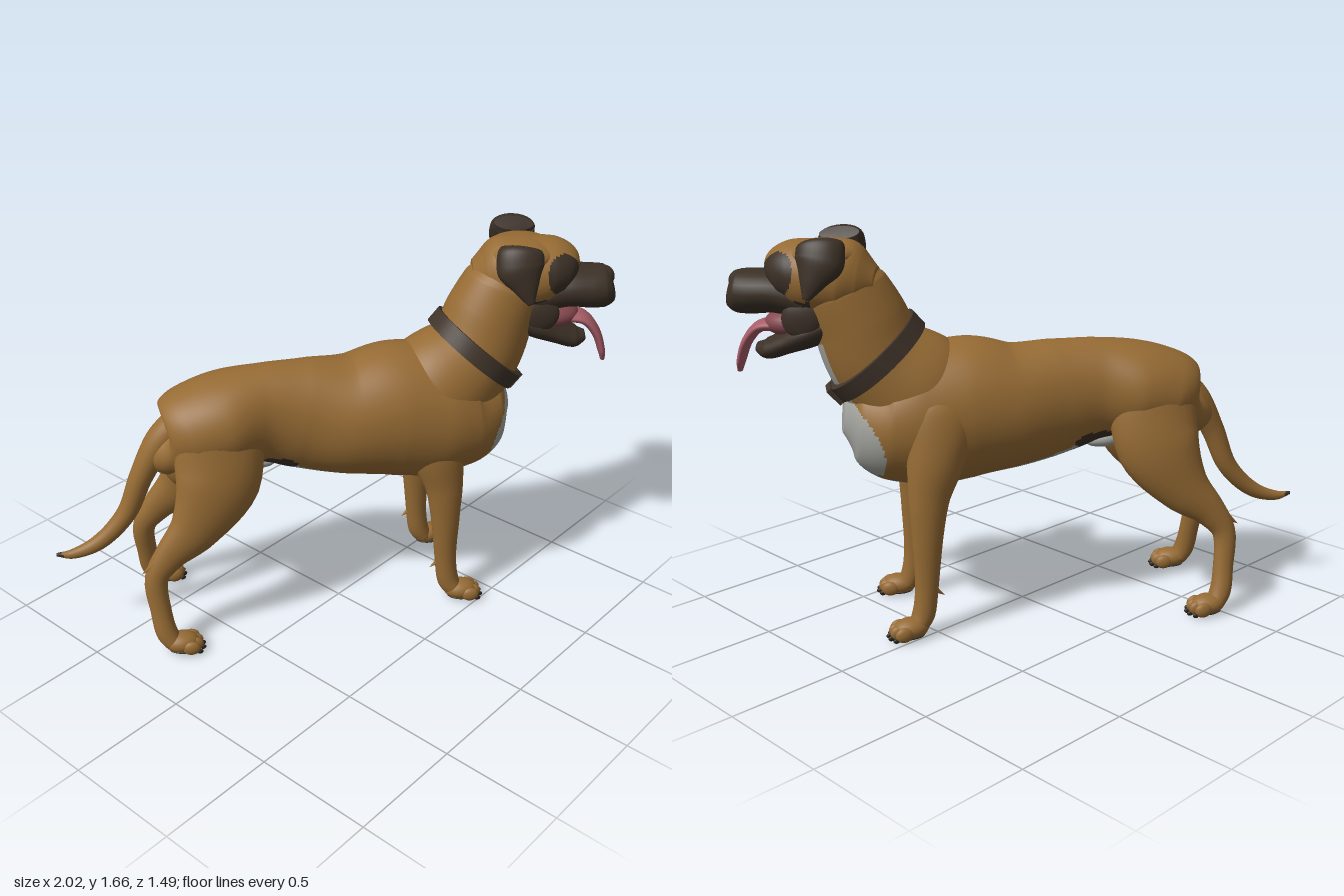
import * as THREE from 'three';
import { toCreasedNormals } from 'three/addons/utils/BufferGeometryUtils.js';

const mat = (name, color) => {
  const m = new THREE.MeshStandardMaterial({ color });
  m.name = name;
  return m;
};

// Smooth loft through sections [x, y, z, sideRadius, otherRadius].
// rule(x, y, z) picks the material group of every face.
function loft(sections, { ref = [0, 0, 1], rings = 40, sides = 28, rule = () => 0 } = {}) {
  const path = new THREE.CatmullRomCurve3(sections.map(s => new THREE.Vector3(s[0], s[1], s[2])));
  const size = new THREE.CatmullRomCurve3(sections.map(s => new THREE.Vector3(s[3], s[4], 0)));
  const axis = new THREE.Vector3(...ref), pos = [], groups = [[], [], []];
  for (let i = -1; i <= rings + 1; i++) {
    const t = Math.min(Math.max(i / rings, 0), 1);
    const c = path.getPoint(t), T = path.getTangent(t), r = size.getPoint(t);
    const S = axis.clone().addScaledVector(T, -T.dot(axis)).normalize();
    const N = T.clone().cross(S);
    const k = i < 0 || i > rings ? 0.01 : 1; // closing rings
    for (let j = 0; j < sides; j++) {
      const f = (j / sides) * Math.PI * 2;
      const p = c.clone()
        .addScaledVector(S, k * Math.max(r.x, 0.002) * Math.cos(f))
        .addScaledVector(N, k * Math.max(r.y, 0.002) * Math.sin(f));
      pos.push(p.x, p.y, p.z);
    }
  }
  for (let i = 0; i < rings + 2; i++) {
    for (let j = 0; j < sides; j++) {
      const a = i * sides + j, b = i * sides + (j + 1) % sides, c = a + sides, d = b + sides;
      const mid = k => (pos[a * 3 + k] + pos[b * 3 + k] + pos[c * 3 + k] + pos[d * 3 + k]) / 4;
      groups[rule(mid(0), mid(1), mid(2))].push(a, b, d, a, d, c);
    }
  }
  const g = new THREE.BufferGeometry();
  g.setAttribute('position', new THREE.Float32BufferAttribute(pos, 3));
  g.setIndex(groups.flat());
  let start = 0;
  groups.forEach((list, m) => {
    if (list.length) g.addGroup(start, list.length, m);
    start += list.length;
  });
  g.computeVertexNormals();
  return g;
}

export function createModel() {
  const tan = mat('tan coat', 0x966b34), dark = mat('dark brown mask', 0x3b3026);
  const white = mat('white chest', 0xa3a39e), pink = mat('pink tongue', 0xa65c66);
  const leather = mat('collar leather', 0x40342a), black = mat('claw black', 0x2a231d);
  const mouthRed = mat('mouth interior', 0x85484f);
  const coat = [tan, white, dark];

  const add = (parent, name, geometry, material) => {
    const m = new THREE.Mesh(geometry, material);
    m.name = name;
    parent.add(m);
    return m;
  };
  const ball = (parent, name, material, x, y, z, rx, ry, rz) => {
    const m = add(parent, name, new THREE.SphereGeometry(1, 24, 16), material);
    m.position.set(x, y, z);
    m.scale.set(rx, ry, rz);
    return m;
  };

  const model = new THREE.Group();
  model.name = 'dog';
  // Inside this group the dog looks along +x and its right side is +z
  const dog = new THREE.Group();
  dog.name = 'standingDog';
  dog.rotation.y = THREE.MathUtils.degToRad(-34);
  model.add(dog);
  const mid = -0.05;

  // Torso with white chest and belly, dark groin
  const torso = [
    [-0.775, 0.92, 0.04, 0.07], [-0.73, 0.89, 0.13, 0.145], [-0.62, 0.925, 0.2, 0.19],
    [-0.48, 0.96, 0.215, 0.2], [-0.3, 0.963, 0.17, 0.22], [-0.15, 0.94, 0.185, 0.245],
    [0.05, 0.91, 0.235, 0.265], [0.25, 0.91, 0.26, 0.3], [0.42, 0.885, 0.265, 0.3],
    [0.58, 0.872, 0.245, 0.25], [0.7, 0.895, 0.175, 0.165], [0.76, 0.9, 0.06, 0.07],
  ].map(([x, y, a, b]) => [x, y, mid, a, b]);
  add(dog, 'torso', loft(torso, {
    rings: 150, sides: 88,
    rule: (x, y, z) => {
      const side = Math.abs(z - mid);
      if (((x + 0.32) / 0.13) ** 2 + ((y - 0.76) / 0.045) ** 2 < 1 && side > 0.05) return 2;
      if (x > 0.5 && ((z + 0.06) / 0.215) ** 2 + ((y - 0.82) / 0.175) ** 2 < 1) return 1;
      return x > -0.45 && side < 0.105 && y < 0.79 ? 1 : 0;
    },
  }), coat);
  ball(dog, 'rump', tan, -0.66, 0.83, mid, 0.1, 0.16, 0.13);
  add(dog, 'belly', loft([
    [-0.46, 0.77, mid, 0.015, 0.015], [-0.38, 0.74, mid, 0.035, 0.035],
    [-0.3, 0.73, mid, 0.03, 0.025], [-0.25, 0.74, mid, 0.01, 0.01]]), white);

  // Neck with a white throat strip
  add(dog, 'neck', loft([
    [0.28, 0.85, mid, 0.21, 0.23], [0.45, 0.99, mid, 0.23, 0.25], [0.61, 1.14, -0.06, 0.192, 0.208],
    [0.68, 1.3, -0.068, 0.175, 0.193], [0.74, 1.43, -0.071, 0.158, 0.175], [0.77, 1.53, -0.071, 0.12, 0.11],
  ], {
    rings: 90, sides: 64,
    rule: (x, y, z) => {
      const front = (x - 0.61) * 0.75 - (y - 1.14) * 0.66, side = Math.abs(z + 0.06);
      return front > 0.1 && y < 1.22 && side < (y < 0.96 ? 0.15 : 0.085) ? 1 : 0;
    },
  }), coat);

  // Collar
  const collar = new THREE.Group();
  collar.name = 'collar';
  collar.position.set(0.615, 1.15, -0.06);
  collar.rotation.z = -0.72;
  dog.add(collar);
  const ring = [[0.9, -0.036], [1.08, -0.036], [1.08, 0.036], [0.9, 0.036]].map(p => new THREE.Vector2(...p));
  const band = new THREE.LatheGeometry(ring, 48).scale(0.215, 1, 0.2);
  add(collar, 'collarBand', toCreasedNormals(band, 0.6), leather);
  add(collar, 'collarBuckle', new THREE.BoxGeometry(0.025, 0.08, 0.11), leather).position.x = 0.232;

  // Tail
  add(dog, 'tail', loft([
    [-0.66, 0.98, -0.04, 0.07, 0.07], [-0.75, 0.9, -0.037, 0.066, 0.064], [-0.84, 0.75, -0.03, 0.05, 0.05],
    [-0.92, 0.57, -0.03, 0.042, 0.042], [-1.045, 0.45, -0.025, 0.034, 0.034],
    [-1.16, 0.412, -0.022, 0.021, 0.021], [-1.225, 0.42, -0.021, 0.007, 0.007],
  ], { rule: x => (x < -1.2 ? 2 : 0) }), coat);

  // Paw with four toes, claws and a dark sole
  function paw(name, x, z, turn) {
    const g = new THREE.Group();
    g.name = name;
    g.position.set(x, 0, z);
    g.rotation.y = turn;
    dog.add(g);
    ball(g, 'foot', tan, 0, 0.05, 0, 0.075, 0.045, 0.055);
    ball(g, 'pad', dark, 0.01, 0.02, 0, 0.07, 0.012, 0.048);
    [-1.5, -0.5, 0.5, 1.5].forEach(i => {
      const tx = 0.06 - Math.abs(i) * 0.014, tz = i * 0.03;
      ball(g, 'toe', tan, tx, 0.042, tz, 0.038, 0.032, 0.019);
      ball(g, 'claw', black, tx + 0.034, 0.022, tz, 0.014, 0.011, 0.008);
    });
  }

  // Legs, mirrored around the line z = c
  [['right', 1], ['left', -1]].forEach(([side, s]) => {
    const leg = (name, c, rows) => add(dog, side + name, loft(rows.map(([x, y, w, a, b]) => [x, y, c + s * w, a, b])), tan);
    leg('FrontLeg', -0.08, [
      [0.36, 1.06, 0.1, 0.05, 0.08], [0.38, 0.93, 0.145, 0.095, 0.155], [0.41, 0.75, 0.185, 0.085, 0.12],
      [0.44, 0.6, 0.205, 0.062, 0.085], [0.45, 0.45, 0.213, 0.052, 0.066], [0.46, 0.2, 0.217, 0.041, 0.048],
      [0.475, 0.1, 0.22, 0.043, 0.048], [0.5, 0.05, 0.225, 0.045, 0.04]]);
    paw(side + 'FrontPaw', 0.53, -0.082 + s * 0.235, -s * 0.15);
    leg('HindLeg', -0.05, [
      [-0.49, 1.07, 0.08, 0.07, 0.1], [-0.52, 0.92, 0.11, 0.1, 0.19], [-0.545, 0.74, 0.155, 0.097, 0.18],
      [-0.65, 0.56, 0.185, 0.07, 0.115], [-0.765, 0.45, 0.2, 0.05, 0.07], [-0.83, 0.355, 0.21, 0.041, 0.05],
      [-0.825, 0.2, 0.235, 0.038, 0.044], [-0.81, 0.1, 0.255, 0.042, 0.046], [-0.785, 0.05, 0.264, 0.045, 0.04]]);
    paw(side + 'HindPaw', -0.75, -0.05 + s * 0.27, -s * 0.1);
    // Small tufts behind the wrist and the hock
    [[0.405, 0.2, -0.08 + s * 0.217], [-0.87, 0.41, -0.05 + s * 0.215]].forEach(([x, y, z]) => {
      const tuft = add(dog, side + 'Tuft', new THREE.ConeGeometry(0.022, 0.08, 10), tan);
      tuft.position.set(x + 0.012, y, z);
      tuft.rotation.z = 2.2;
    });
  });

  // Head, turned a little to the dog's right
  const head = new THREE.Group();
  head.name = 'head';
  head.position.set(0.784, 0, -0.071);
  head.rotation.y = THREE.MathUtils.degToRad(-16);
  dog.add(head);
  add(head, 'skull', loft([
    [-0.18, 1.46, 0, 0.08, 0.06], [-0.12, 1.465, 0, 0.13, 0.125], [-0.05, 1.475, 0, 0.16, 0.155],
    [0.06, 1.48, 0, 0.165, 0.152], [0.15, 1.49, 0, 0.155, 0.135], [0.205, 1.475, 0, 0.125, 0.11],
    [0.235, 1.46, 0, 0.07, 0.06],
  ], {
    rings: 90, sides: 72,
    rule: (x, y, z) => {
      const eye = ((x - 0.18) / 0.085) ** 2 + ((y - 1.505) / 0.085) ** 2 + ((Math.abs(z) - 0.1) / 0.085) ** 2;
      return eye < 1 || (x > 0.06 && y < 1.4) || (x > 0.19 && y < 1.53) ? 2 : 0;
    },
  }), coat);
  // Flat forehead between the ears
  ball(head, 'forehead', tan, 0.02, 1.57, 0, 0.155, 0.062, 0.165);
  add(head, 'muzzle', loft([
    [0.08, 1.39, 0, 0.125, 0.09], [0.22, 1.42, 0, 0.125, 0.088], [0.32, 1.418, 0, 0.12, 0.09],
    [0.375, 1.418, 0, 0.108, 0.088], [0.405, 1.422, 0, 0.08, 0.07], [0.415, 1.425, 0, 0.03, 0.03]]), dark);
  ball(head, 'nose', dark, 0.37, 1.46, 0, 0.046, 0.044, 0.06);
  add(head, 'lowerJaw', loft([
    [0.0, 1.3, 0, 0.11, 0.06], [0.09, 1.262, 0, 0.125, 0.066], [0.19, 1.215, 0, 0.105, 0.05],
    [0.27, 1.185, 0, 0.08, 0.042], [0.315, 1.19, 0, 0.035, 0.02]]), dark);
  ball(head, 'mouth', mouthRed, 0.16, 1.295, 0, 0.12, 0.06, 0.1);
  add(head, 'tongue', loft([
    [0.08, 1.28, 0, 0.06, 0.025], [0.2, 1.285, 0, 0.07, 0.028], [0.3, 1.275, 0.005, 0.066, 0.024],
    [0.36, 1.21, 0.01, 0.06, 0.02], [0.39, 1.13, 0.015, 0.05, 0.016], [0.4, 1.085, 0.018, 0.02, 0.01],
  ]), pink);

  // Lip corners, eyes and folded, hanging ears
  [['right', 1], ['left', -1]].forEach(([side, s]) => {
    ball(head, side + 'LipCorner', dark, 0.1, 1.325, s * 0.1, 0.085, 0.08, 0.03);
    ball(head, side + 'Eye', black, 0.195, 1.515, s * 0.098, 0.018, 0.016, 0.018);
    add(head, side + 'Ear', loft([
      [0.0, 1.632, s * 0.155, 0.085, 0.03], [-0.003, 1.615, s * 0.175, 0.095, 0.055],
      [-0.003, 1.57, s * 0.197, 0.097, 0.055], [0.02, 1.5, s * 0.225, 0.056, 0.033],
      [0.045, 1.43, s * 0.245, 0.014, 0.01],
    ], { ref: [1, 0, 0] }), dark);
  });
  return model;
}
